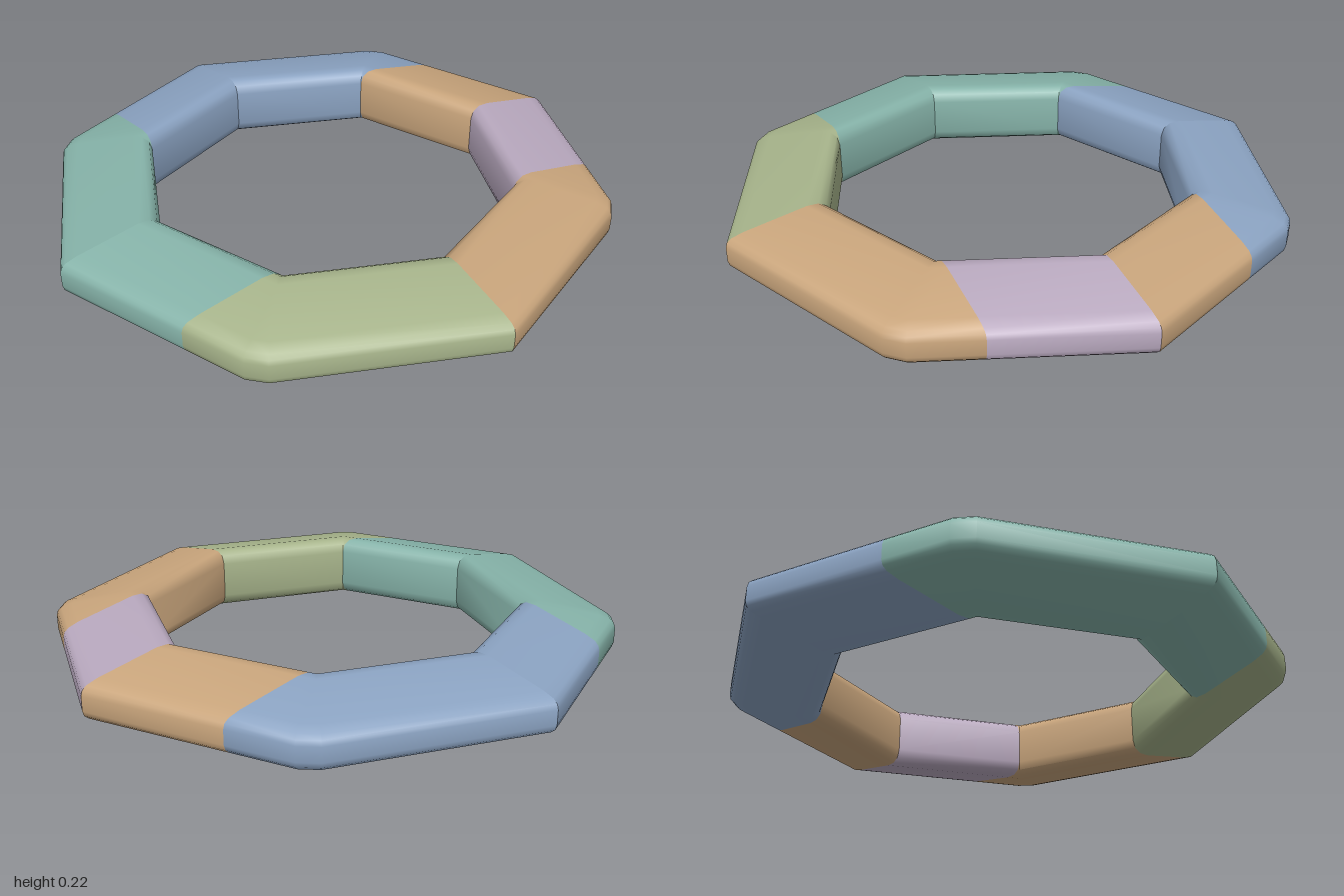
import * as THREE from 'three';
import { toCreasedNormals } from 'three/addons/utils/BufferGeometryUtils.js';

const INNER = 0.65, WIDTH = 0.35, CORNER = INNER / Math.SQRT2;
const C = Math.cos(Math.PI / 8), S = Math.sin(Math.PI / 8);

// Cross-section: distance u out from the inner wall, height y; blunt outer nose
const section = [
  [0, 0.045], [0, 0.175], [0.01, 0.205], [0.035, 0.22], [0.075, 0.22],
  [0.29, 0.178], [0.33, 0.165], [0.345, 0.152], [0.35, 0.135],
  [0.35, 0.085], [0.345, 0.068], [0.33, 0.055], [0.29, 0.042],
  [0.075, 0], [0.035, 0], [0.01, 0.015],
];

// Stations of one quadrant: each turns u into a position [x, z]
const onAxisZ = u => [0, INNER + u];
const onAxisX = u => [INNER + u, 0];
const onCut = u => [CORNER + u, CORNER];
const corner = u => (INNER + u) / Math.SQRT2;
const bevel = u => 0.04 * Math.max(0, (u - 0.15) / (WIDTH - 0.15));
const cornerStart = u => [corner(u) - bevel(u) * C, corner(u) + bevel(u) * S];
const cornerEnd = u => [corner(u) + bevel(u) * S, corner(u) - bevel(u) * C];

const bentStations = [onAxisZ, cornerStart, cornerEnd, onCut];
const straightStations = [onCut, onAxisX];

// Skin the section through the stations, then close both ends
function segmentGeometry(stations, place, mirrored) {
  const n = section.length;
  const rings = stations.map(station => section.map(([u, y]) => {
    const [x, z] = place(...station(u));
    return new THREE.Vector3(x, y, z);
  }));
  const positions = [];
  const tri = new THREE.Triangle();
  const add = (a, b, c) => {
    if (mirrored) [b, c] = [c, b];
    tri.set(a, b, c);
    if (tri.getArea() < 1e-8) return;
    for (const p of [a, b, c]) positions.push(p.x, p.y, p.z);
  };
  for (let s = 0; s < rings.length - 1; s++) {
    const a = rings[s], b = rings[s + 1];
    for (let i = 0; i < n; i++) {
      const j = (i + 1) % n;
      add(a[i], a[j], b[i]);
      add(a[j], b[j], b[i]);
    }
  }
  const first = rings[0], last = rings[rings.length - 1];
  for (let i = 1; i < n - 1; i++) {
    add(first[0], first[i + 1], first[i]);
    add(last[0], last[i], last[i + 1]);
  }
  const geometry = new THREE.BufferGeometry();
  geometry.setAttribute('position', new THREE.Float32BufferAttribute(positions, 3));
  return toCreasedNormals(geometry, 0.7);
}

export function createModel() {
  const material = (name, color) => {
    const m = new THREE.MeshStandardMaterial({ color });
    m.name = name;
    return m;
  };
  const tan = material('tan', 0xc9a57c);
  const green = material('sageGreen', 0xa7b48b);
  const teal = material('teal', 0x86b3a9);
  const blue = material('blue', 0x8ba3c2);
  const mauve = material('mauve', 0xb9a9bf);

  // One bent and one straight segment in each quadrant
  const quadrants = [
    { name: 'frontLeft', place: (x, z) => [x, z], mirrored: false, bent: tan, straight: mauve },
    { name: 'frontRight', place: (x, z) => [-x, z], mirrored: true, bent: green, straight: teal },
    { name: 'backLeft', place: (x, z) => [x, -z], mirrored: true, bent: blue, straight: tan },
    { name: 'backRight', place: (x, z) => [-z, -x], mirrored: true, bent: teal, straight: blue },
  ];

  const ring = new THREE.Group();
  ring.name = 'segmentedRing';
  for (const q of quadrants) {
    const bent = new THREE.Mesh(segmentGeometry(bentStations, q.place, q.mirrored), q.bent);
    bent.name = q.name + 'BentSegment';
    const straight = new THREE.Mesh(segmentGeometry(straightStations, q.place, q.mirrored), q.straight);
    straight.name = q.name + 'StraightSegment';
    ring.add(bent, straight);
  }
  return ring;
}
